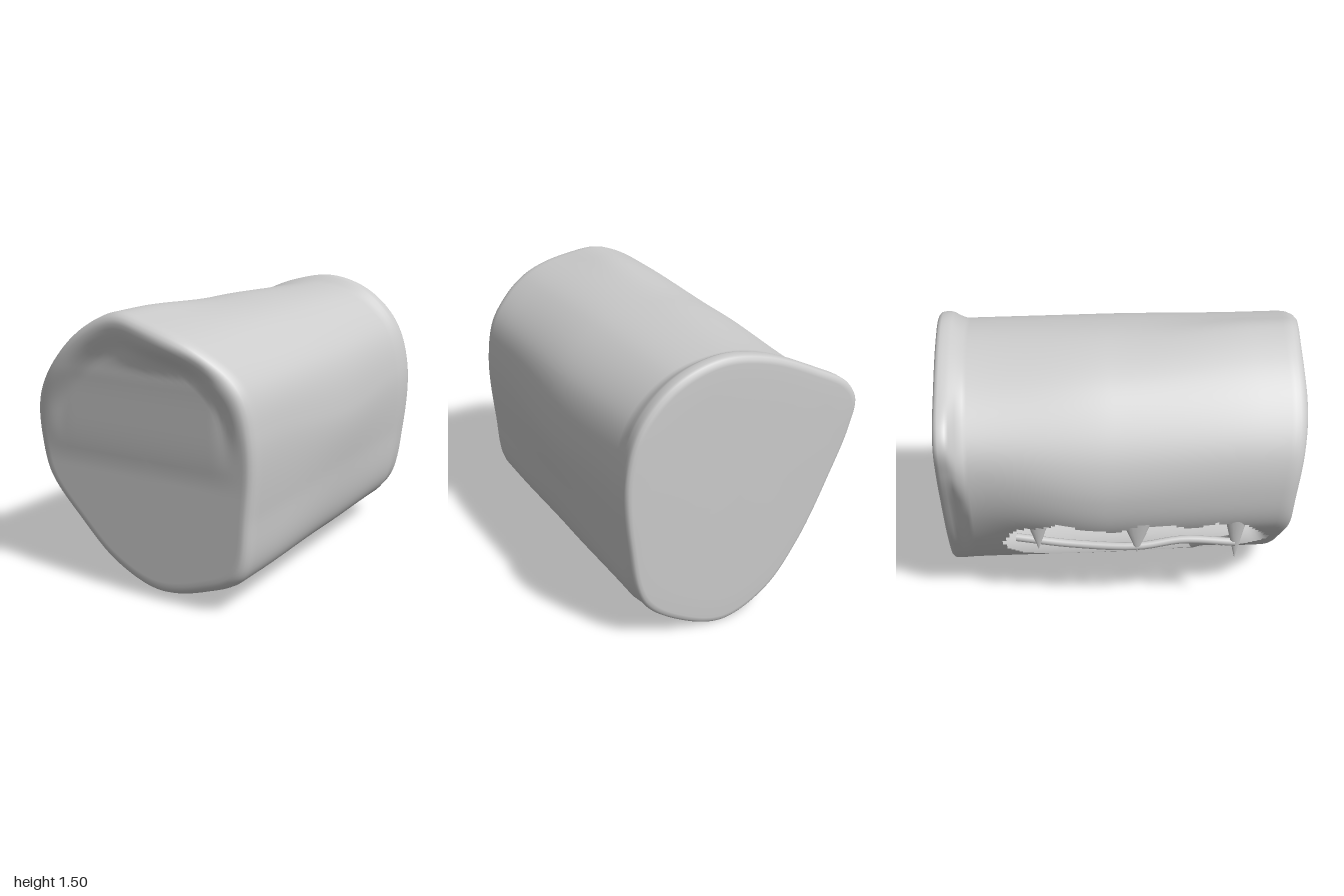
import * as THREE from 'three';

const material = new THREE.MeshStandardMaterial({ color: 0xcccccc, side: THREE.DoubleSide });
const RING = 192;
const { smoothstep } = THREE.MathUtils;

// Outlines (x, y), from the top over the -x side, under the belly and up the +x side
const backRim = [0.15, 1.5, -0.12, 1.46, -0.42, 1.33, -0.61, 1.22, -0.67, 1.12, -0.64, 0.96, -0.54, 0.72, -0.36, 0.36,
  -0.16, 0.11, 0.1, 0, 0.37, 0.09, 0.57, 0.26, 0.645, 0.6, 0.66, 0.98, 0.58, 1.24, 0.4, 1.42];
const backBody = [0.08, 1.46, -0.15, 1.43, -0.36, 1.33, -0.52, 1.19, -0.61, 1.04, -0.625, 0.88, -0.57, 0.65, -0.4, 0.35,
  -0.17, 0.12, 0.1, 0.01, 0.37, 0.09, 0.58, 0.25, 0.64, 0.6, 0.65, 0.96, 0.57, 1.22, 0.36, 1.4];
const middle = [0.05, 1.47, -0.18, 1.45, -0.4, 1.34, -0.56, 1.17, -0.66, 0.98, -0.685, 0.78, -0.63, 0.56, -0.4, 0.31,
  -0.18, 0.12, 0.1, 0.025, 0.37, 0.09, 0.58, 0.23, 0.66, 0.6, 0.68, 0.9, 0.6, 1.2, 0.36, 1.4];
const front = [0.08, 1.475, -0.12, 1.5, -0.33, 1.41, -0.52, 1.24, -0.655, 1.02, -0.685, 0.8, -0.64, 0.58, -0.43, 0.34,
  -0.2, 0.14, 0.08, 0.035, 0.36, 0.09, 0.58, 0.21, 0.64, 0.55, 0.655, 0.95, 0.59, 1.19, 0.37, 1.38];

// Smooth closed outline resampled at even parameter steps
function outline(flat) {
  const pts = [];
  for (let i = 0; i < flat.length; i += 2) pts.push(new THREE.Vector3(flat[i], flat[i + 1], 0));
  const curve = new THREE.CatmullRomCurve3(pts, true);
  return Array.from({ length: RING }, (_, i) => curve.getPoint(i / RING));
}

// Height of the front face, rising into an overhanging lip at the top
function frontZ(x, y) {
  const lip = Math.exp(-(((x - 0.2) / 0.27) ** 2));
  const side = 1 - (x > 0 ? 0.7 : 0.2) * smoothstep(Math.abs(x), 0.42, 0.68);
  return 0.885 + 0.065 * side * smoothstep(y, 0.65, 1.2) + 0.06 * lip * smoothstep(y, 1.2, 1.37);
}

// Ragged opening along the slanted lower -x side; s is the place around the ring, 0 to 1
function inOpening(s, z) {
  const across = (s - 0.428) / (0.06 + 0.006 * Math.sin(z * 14) + 0.003 * Math.sin(z * 31));
  const along = (z - 0.06) / 0.73;
  return across ** 2 + along ** 4 < 1;
}

// Closed surface through rings of points, leaving out the opening
function loft(rows) {
  const n = RING, position = [], index = [];
  rows.forEach(row => row.forEach(p => position.push(p.x, p.y, p.z)));
  for (let i = 0; i < rows.length - 1; i++) {
    for (let j = 0; j < n; j++) {
      if (inOpening((j + 0.5) / n, (rows[i][j].z + rows[i + 1][j].z) / 2)) continue;
      const a = i * n + j, b = i * n + (j + 1) % n;
      index.push(a, b, a + n, b, b + n, a + n);
    }
  }
  const geometry = new THREE.BufferGeometry();
  geometry.setAttribute('position', new THREE.Float32BufferAttribute(position, 3));
  geometry.setIndex(index);
  geometry.computeVertexNormals();
  return geometry;
}

function bodyGeometry() {
  const rims = [backRim, backRim, backBody, middle, front, front].map(outline);
  const stops = [0, 0.02, 0.065, 0.48, 0.9, 1];
  const scaled = (p, k) => new THREE.Vector3(0.03 + (p.x - 0.03) * k, 0.75 + (p.y - 0.75) * k, 0);
  const rows = [];

  // Nearly flat back with a tight rounded edge
  for (const [k, z] of [[0, -0.993], [0.4, -0.992], [0.8, -0.99], [0.95, -0.987], [0.975, -0.984], [0.993, -0.974]]) {
    rows.push(rims[0].map(p => scaled(p, k).setZ(z)));
  }
  // Long sides, blended between the outlines
  const steps = [0, 0.01, 0.02, 0.03, 0.045, 0.065];
  for (let i = 1; i <= 80; i++) steps.push(0.065 + 0.935 * i / 80);
  for (const u of steps) {
    let s = 0;
    while (s < stops.length - 2 && u > stops[s + 1]) s++;
    const t = smoothstep(u, stops[s], stops[s + 1]);
    rows.push(rims[s].map((p, j) => {
      const q = p.clone().lerp(rims[s + 1][j], t);
      return q.setZ(-0.96 + u * (frontZ(q.x, q.y) - 0.07 + 0.96));
    }));
  }
  // Rounded front edge
  for (const a of [0.25, 0.5, 0.75, 1]) {
    const c = 1 - Math.cos(a * Math.PI / 2), d = 1 - Math.sin(a * Math.PI / 2);
    rows.push(rims[5].map(p => {
      const q = scaled(p, 1 - 0.07 * c);
      return q.setZ(frontZ(q.x, q.y) - 0.07 * d);
    }));
  }
  // Front face, sunk behind the rim in its upper half
  for (let i = 1; i <= 30; i++) {
    const k = 0.93 * (1 - i / 30);
    rows.push(rims[5].map(p => {
      const q = scaled(p, k);
      const sunk = 0.04 * smoothstep(q.y, 0.75, 1.15) * (1 - smoothstep(k, 0.74, 0.91));
      return q.setZ(frontZ(q.x, q.y) - sunk);
    }));
  }
  return loft(rows);
}

export function createModel() {
  const model = new THREE.Group();
  const add = (name, geometry) => {
    const mesh = new THREE.Mesh(geometry, material);
    mesh.name = name;
    model.add(mesh);
    return mesh;
  };

  add('body', bodyGeometry());

  // Torn hooks hanging from the upper edge of the opening: [x, z, tip height, half width]
  for (const [x, z, tip, width] of [[-0.625, 0.58, 0.36, 0.07], [-0.605, 0.05, 0.41, 0.1], [-0.55, -0.48, 0.42, 0.08]]) {
    const height = 0.66 - tip;
    const hook = add('tornHook', new THREE.ConeGeometry(width, height, 16, 4));
    hook.scale.x = 0.035 / width;
    hook.rotation.x = Math.PI;
    hook.position.set(x, tip + height / 2, z);
  }

  // Thin strands left across the opening
  const strands = [
    [[-0.5, 0.47, -0.6], [-0.54, 0.44, -0.3], [-0.59, 0.44, 0.05], [-0.59, 0.47, 0.3], [-0.62, 0.46, 0.58]],
    [[-0.6, 0.47, 0.56], [-0.46, 0.36, 0.52], [-0.32, 0.26, 0.45], [-0.17, 0.14, 0.42]],
  ];
  for (const points of strands) {
    const curve = new THREE.CatmullRomCurve3(points.map(p => new THREE.Vector3(...p)));
    add('tornStrand', new THREE.TubeGeometry(curve, 24, 0.022, 8));
  }
  return model;
}
